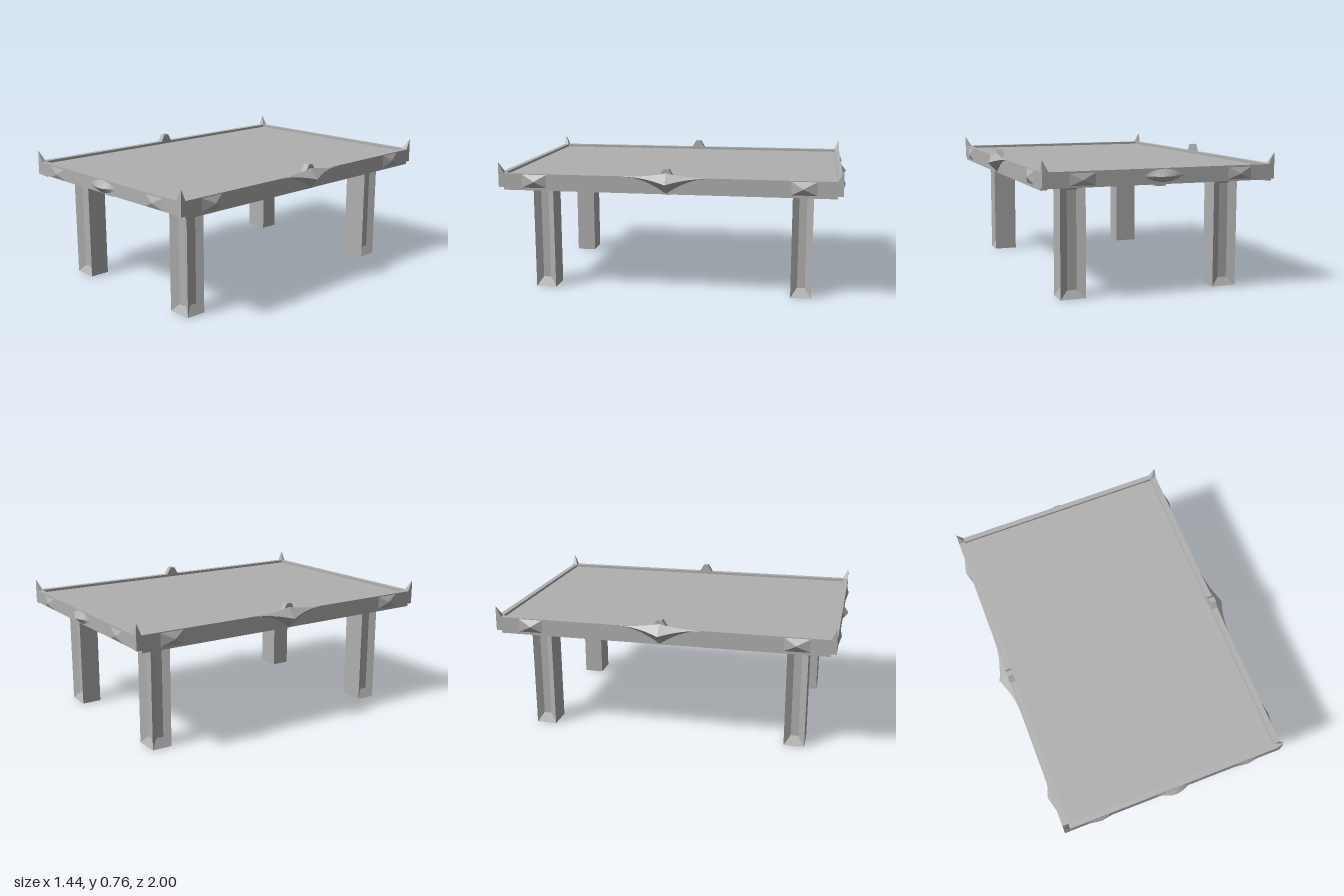
import * as THREE from 'three';

// Flat-faced geometry from a list of four-cornered faces (counter-clockwise)
function fromQuads(quads) {
  const pos = [];
  for (const [a, b, c, d] of quads) pos.push(...a, ...b, ...c, ...a, ...c, ...d);
  const g = new THREE.BufferGeometry();
  g.setAttribute('position', new THREE.Float32BufferAttribute(pos, 3));
  g.computeVertexNormals();
  return g;
}

// Mirrors quads in x and z, keeping the faces outward
function mirror(quads, sx, sz) {
  const out = quads.map(q => q.map(([x, y, z]) => [x * sx, y, z * sz]));
  return sx * sz < 0 ? out.map(q => q.reverse()) : out;
}

// Quads facing +z turned to face +x
const turn = quads => quads.map(q => q.map(([x, y, z]) => [z, y, -x]));
const shift = (quads, dx, dz) => quads.map(q => q.map(([x, y, z]) => [x + dx, y, z + dz]));

// Bevelled panel facing +z: raised for positive depth, sunk for negative
function panel([x0, x1, y0, y1], [u0, u1, v0, v1], depth) {
  const o = [[x0, y0, 0], [x1, y0, 0], [x1, y1, 0], [x0, y1, 0]];
  const n = [[u0, v0, depth], [u1, v0, depth], [u1, v1, depth], [u0, v1, depth]];
  const quads = [n];
  for (let i = 0; i < 4; i++) {
    const j = (i + 1) % 4;
    quads.push([o[i], o[j], n[j], n[i]]);
  }
  return quads;
}

// Block with separate bottom and top rectangles [x0, x1, z0, z1]
function taper(b, y0, t, y1) {
  const ring = ([x0, x1, z0, z1], y) => [[x0, y, z1], [x1, y, z1], [x1, y, z0], [x0, y, z0]];
  const lo = ring(b, y0), hi = ring(t, y1);
  const quads = [hi, [...lo].reverse()];
  for (let i = 0; i < 4; i++) {
    const j = (i + 1) % 4;
    quads.push([lo[i], lo[j], hi[j], hi[i]]);
  }
  return quads;
}

// Ridged ornament facing +z; section(t) gives top, ridge, bottom and overhang
function ridge(half, steps, section) {
  const quads = [];
  const row = i => {
    const x = -half + (2 * half * i) / steps;
    const [top, mid, low, out] = section(Math.abs(x) / half);
    return [[x, top, 0], [x, mid, out], [x, low, 0]];
  };
  for (let i = 0; i < steps; i++) {
    const a = row(i), b = row(i + 1);
    quads.push([a[1], b[1], b[0], a[0]], [a[2], b[2], b[1], a[1]]);
  }
  return quads;
}

export function createModel() {
  const group = new THREE.Group();
  const grey = new THREE.MeshStandardMaterial({ color: 0xb0b0b0 });

  const add = (name, geometry) => {
    const mesh = new THREE.Mesh(geometry, grey);
    mesh.name = name;
    group.add(mesh);
  };
  const box = (name, x0, x1, y0, y1, z0, z1) => {
    const g = new THREE.BoxGeometry(x1 - x0, y1 - y0, z1 - z0);
    add(name, g.translate((x0 + x1) / 2, (y0 + y1) / 2, (z0 + z1) / 2));
  };

  // Table slab
  box('tableTop', -0.63, 0.63, 0.616, 0.69, -0.94, 0.94);

  // Leg with sunk panels on its two outer faces
  const [lx0, lx1, lz0, lz1, ly] = [0.38, 0.523, 0.695, 0.813, 0.63];
  const leg = [
    ...taper([lx0, lx1, lz0, lz1], 0, [lx0, lx1, lz0, lz1], ly).filter((q, i) => i !== 2 && i !== 3),
    ...shift(panel([lx0, lx1, 0, ly], [lx0 + 0.045, lx1 - 0.045, 0.045, ly - 0.042], -0.025), 0, lz1),
    ...shift(turn(panel([-lz1, -lz0, 0, ly], [-lz1 + 0.037, -lz0 - 0.037, 0.055, ly - 0.045], -0.025)), lx1, 0),
  ];

  // Corner post drawn up to a point
  const spike = [
    ...taper([0.63, 0.665, 0.94, 0.97], 0.625, [0.63, 0.665, 0.94, 0.97], 0.706),
    ...taper([0.63, 0.665, 0.94, 0.97], 0.706, [0.663, 0.665, 0.966, 0.968], 0.765),
  ];

  // Faceted studs on the rim beside each leg
  const endStud = shift(panel([0.38, 0.52, 0.63, 0.695], [0.448, 0.452, 0.658, 0.662], 0.014), 0, 0.97);
  const sideStud = shift(turn(panel([-0.83, -0.69, 0.625, 0.7], [-0.757, -0.753, 0.66, 0.664], 0.022)), 0.665, 0);

  for (const sx of [1, -1]) {
    for (const sz of [1, -1]) {
      const parts = { leg, cornerSpike: spike, endStud, sideStud };
      for (const [name, quads] of Object.entries(parts)) add(name, fromQuads(mirror(quads, sx, sz)));
    }
  }

  // Side ornament: concave swept wings meeting in a point
  const sideOrnament = shift(turn(ridge(0.25, 20, t => {
    const s = (1 - t) ** 2;
    return [0.703 + 0.025 * s, 0.703 - 0.033 * s, 0.703 - 0.09 * s, 0.055 * s];
  })), 0.665, 0);
  // Small wedge above it
  const wedge = taper([0.63, 0.665, -0.045, 0.045], 0.7, [0.63, 0.665, -0.015, 0.015], 0.75);

  // End ornament: smooth eye-shaped bulge
  const endOrnament = shift(ridge(0.118, 16, t => {
    const h = 1 - t * t, bell = (1 + Math.cos(Math.PI * t)) / 2;
    return [0.667 + 0.034 * h, 0.665 - 0.003 * h, 0.667 - 0.037 * h, 0.03 * bell];
  }), 0, 0.97);

  for (const s of [1, -1]) {
    // Raised rims
    const [a, b] = s > 0 ? [0.63, 0.665] : [-0.665, -0.63];
    const [c, d] = s > 0 ? [0.94, 0.97] : [-0.97, -0.94];
    box('sideRim', a, b, 0.61, 0.705, -0.94, 0.94);
    box('endRim', -0.63, 0.63, 0.628, 0.705, c, d);
    add('sideOrnament', fromQuads(mirror(sideOrnament, s, 1)));
    add('sideWedge', fromQuads(mirror(wedge, s, 1)));
    add('endOrnament', fromQuads(mirror(endOrnament, 1, s)));
    // Rails between the legs
    box('endRail', -0.38, 0.38, 0.606, 0.62, s * 0.755 - 0.02, s * 0.755 + 0.02);
    box('sideRail', s * 0.45 - 0.02, s * 0.45 + 0.02, 0.606, 0.62, -0.695, 0.695);
  }

  // Crossing beams under the slab
  box('longBeam', -0.03, 0.03, 0.606, 0.625, -0.93, 0.93);
  box('crossBeam', -0.66, 0.66, 0.607, 0.625, -0.025, 0.025);

  return group;
}
